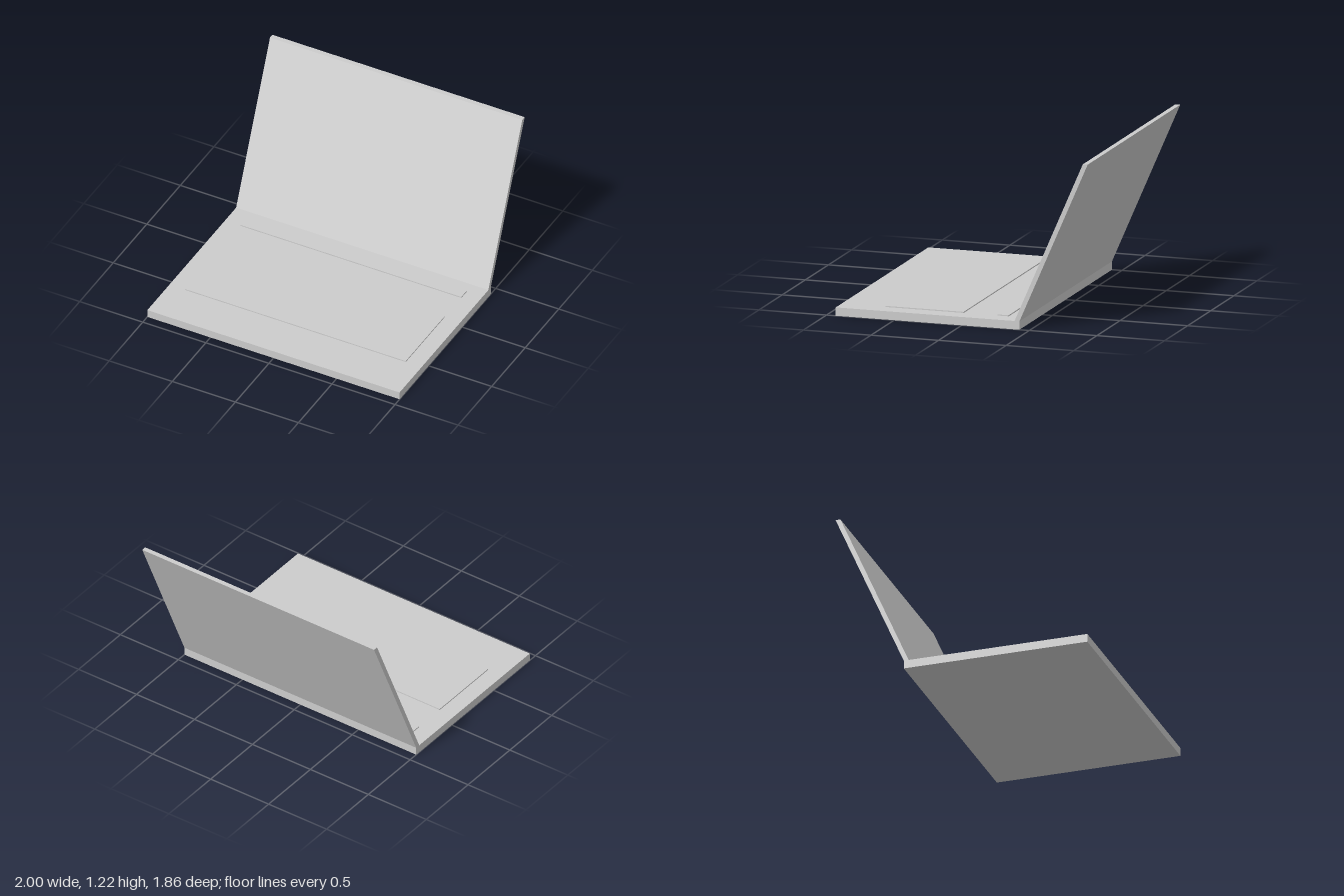
import * as THREE from 'three';

const material = new THREE.MeshStandardMaterial({ color: 0xcccccc });

// Box given by its width and its y and z extents
function slab(name, width, y0, y1, z0, z1) {
  const mesh = new THREE.Mesh(new THREE.BoxGeometry(width, y1 - y0, z1 - z0), material);
  mesh.position.set(0, (y0 + y1) / 2, (z0 + z1) / 2);
  mesh.name = name;
  return mesh;
}

export function createModel() {
  const group = new THREE.Group();
  group.name = 'laptop';

  // Base with two slightly raised panels
  group.add(slab('base', 2, 0, 0.06, -0.427, 0.932));
  group.add(slab('keyboard', 1.75, 0.058, 0.068, 0.028, 0.605));
  group.add(slab('hingeStrip', 1.75, 0.058, 0.068, -0.305, -0.223));

  // Leaning lid: side profile (z, y) with level ends, extruded across the width
  const profile = [[-0.391, 0.06], [-0.427, 0.06], [-0.932, 1.222], [-0.896, 1.222]];
  const shape = new THREE.Shape(profile.map(([z, y]) => new THREE.Vector2(-z, y)));
  const geometry = new THREE.ExtrudeGeometry(shape, { depth: 2, bevelEnabled: false });
  geometry.translate(0, 0, -1).rotateY(Math.PI / 2);
  const lid = new THREE.Mesh(geometry, material);
  lid.name = 'lid';
  group.add(lid);

  return group;
}
